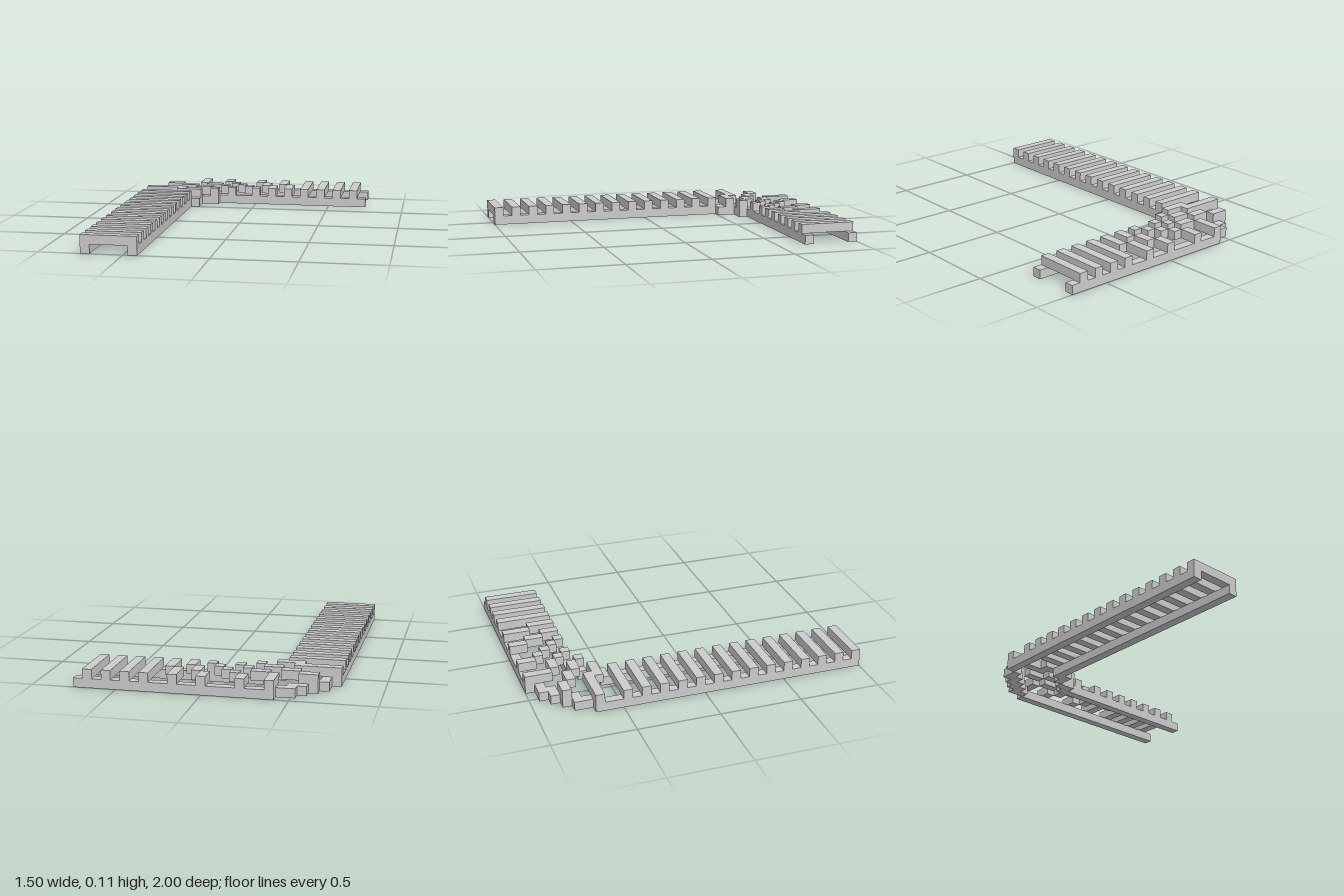
import * as THREE from 'three';

const U = 1 / 18; // side of one cube; the layout is 27 x 2 x 36 cubes

export function createModel() {
  const model = new THREE.Group();
  const material = new THREE.MeshStandardMaterial({ color: 0xcccccc, flatShading: true });

  // Bar filling columns c0..c1 (x) and rows r0..r1 (z) of one layer
  function bar(parent, name, layer, c0, c1, r0, r1 = r0) {
    const w = c1 - c0 + 1, d = r1 - r0 + 1;
    const mesh = new THREE.Mesh(new THREE.BoxGeometry(w * U, U, d * U), material);
    mesh.position.set((c0 + w / 2 - 13.5) * U, (layer + 0.5) * U, (r0 + d / 2 - 18) * U);
    mesh.name = name;
    parent.add(mesh);
  }

  function group(name) {
    const g = new THREE.Group();
    g.name = name;
    model.add(g);
    return g;
  }

  // Outer rail: straight, stepped bend, straight
  const outer = group('outerRail');
  bar(outer, 'outerRailStraight', 0, 0, 0, 6, 35);
  [[1, 1, 5], [1, 2, 4], [2, 3, 3], [3, 4, 2], [4, 5, 1]]
    .forEach(([a, b, r]) => bar(outer, 'outerRailStep', 0, a, b, r));
  bar(outer, 'outerRailStraight', 0, 6, 26, 0);

  // Inner rail
  const inner = group('innerRail');
  bar(inner, 'innerRailStraight', 0, 5, 5, 8, 35);
  bar(inner, 'innerRailStep', 0, 6, 6, 7, 8);
  bar(inner, 'innerRailStep', 0, 7, 8, 6);
  bar(inner, 'innerRailStraight', 0, 8, 26, 5);

  // Straight ties across each leg
  const ties = group('straightTies');
  for (let r = 9; r <= 35; r += 2) bar(ties, 'tie', 1, 0, 5, r);
  for (let c = 19; c <= 25; c += 2) bar(ties, 'tie', 1, c, c, 0, 5);

  // Stepped ties fanning round the bend: [firstColumn, lastColumn, firstRow, lastRow]
  const fan = [
    [[0, 4, 6, 6], [4, 6, 7, 7]],
    [[2, 3, 3, 3], [4, 5, 4, 4], [6, 7, 5, 5], [8, 8, 6, 6]],
    [[6, 6, 0, 2], [7, 8, 3, 3], [9, 9, 4, 4], [10, 10, 5, 5]],
    [[9, 9, 0, 1], [10, 10, 2, 2], [11, 11, 3, 3], [12, 12, 4, 4], [13, 13, 5, 5]],
    [[13, 13, 0, 1], [14, 14, 2, 3], [15, 15, 4, 5]],
    [[16, 16, 0, 2], [17, 17, 3, 5]],
  ];
  fan.forEach((steps) => {
    const tie = group('bendTie');
    steps.forEach((s) => bar(tie, 'bendTieStep', 1, ...s));
  });

  return model;
}
